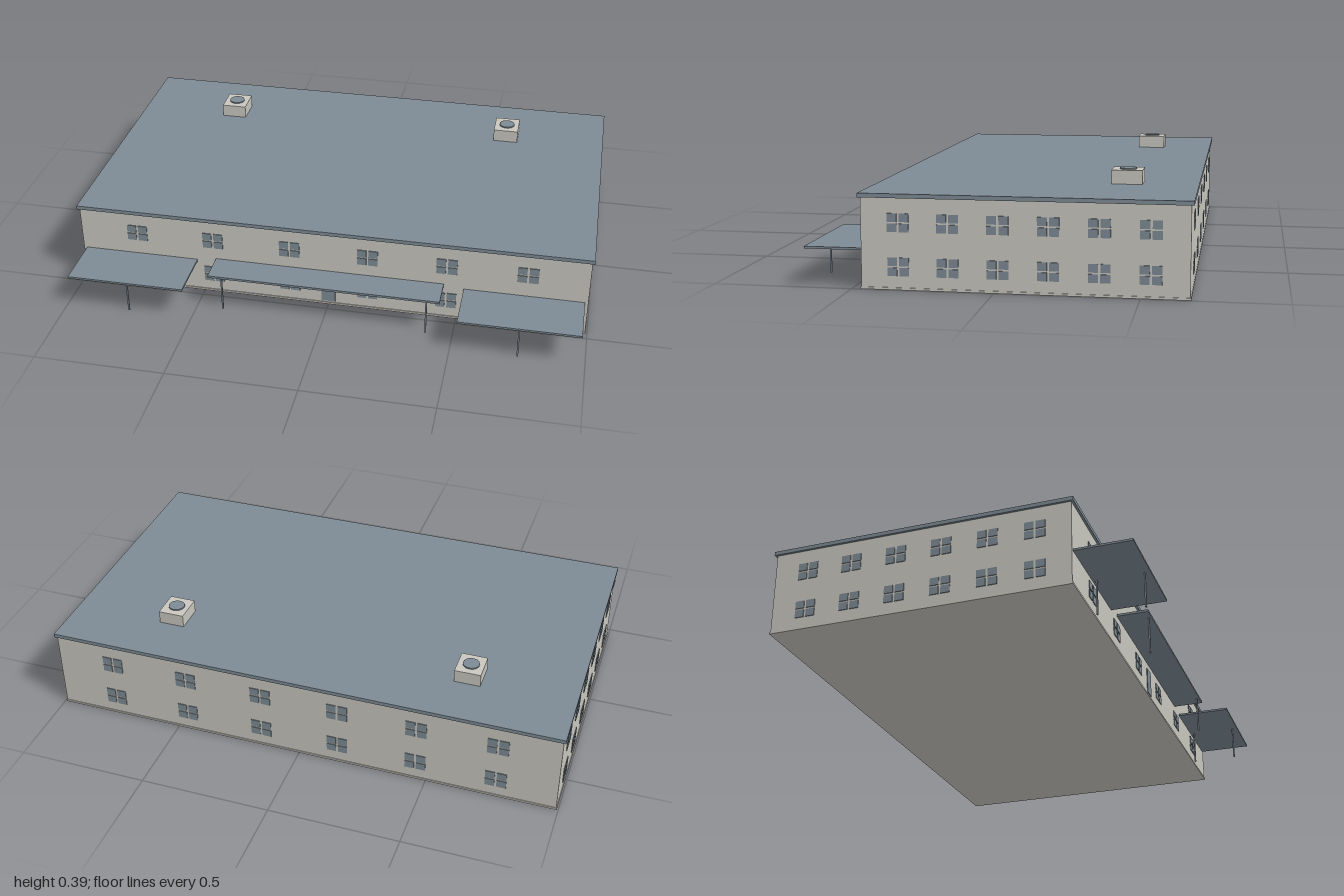
import * as THREE from 'three';

const wallMat = new THREE.MeshStandardMaterial({ name: 'plaster', color: 0xc8c6be });
const roofMat = new THREE.MeshStandardMaterial({ name: 'slate blue', color: 0x7d8a94 });

// Box given by its min and max corners
function block(parent, name, mat, [x0, y0, z0], [x1, y1, z1]) {
  const mesh = new THREE.Mesh(new THREE.BoxGeometry(x1 - x0, y1 - y0, z1 - z0), mat);
  mesh.position.set((x0 + x1) / 2, (y0 + y1) / 2, (z0 + z1) / 2);
  mesh.name = name;
  parent.add(mesh);
  return mesh;
}

// Four thin panes around a cross-shaped gap, facing +z
function makeWindow(width) {
  const g = new THREE.Group();
  g.name = 'window';
  const w = width / 2, h = 0.0325, gx = 0.004, gy = 0.003;
  for (const sx of [-1, 1]) for (const sy of [-1, 1]) {
    const pane = new THREE.Mesh(new THREE.BoxGeometry(w - gx, h - gy, 0.004), roofMat);
    pane.position.set(sx * (w + gx) / 2, sy * (h + gy) / 2, 0);
    pane.name = 'windowPane';
    g.add(pane);
  }
  return g;
}

export function createModel() {
  const model = new THREE.Group();
  model.name = 'building';
  const X = 0.992, ZF = 0.466, ZB = -0.667;

  // Main volume
  block(model, 'plinth', wallMat, [-X - 0.003, 0, ZB - 0.003], [X + 0.003, 0.008, ZF + 0.003]);
  block(model, 'walls', wallMat, [-X, 0.008, ZB], [X, 0.322, ZF]);
  block(model, 'roofSlab', roofMat, [-1, 0.321, -0.676], [1, 0.336, 0.475]);

  // Two rows of windows on every wall
  for (const y of [0.081, 0.235]) {
    for (let i = 0; i < 6; i++) {
      const x = (i - 2.5) * 0.305, z = 0.334 - i * 0.1737;
      const place = (width, px, pz, turn) => {
        const win = makeWindow(width);
        win.position.set(px, y, pz);
        win.rotation.y = turn;
        model.add(win);
      };
      place(0.08, x, ZF + 0.001, 0);
      place(0.08, x, ZB - 0.001, Math.PI);
      place(0.076, X + 0.001, z, Math.PI / 2);
      place(0.076, -X - 0.001, z, -Math.PI / 2);
    }
  }

  // Front door
  block(model, 'door', roofMat, [-0.027, 0.015, ZF - 0.001], [0.027, 0.119, ZF + 0.003]);

  // Canopies on slim posts
  const post = (x, z, top) =>
    block(model, 'canopyPost', roofMat, [x - 0.003, 0, z - 0.003], [x + 0.003, top, z + 0.003]);
  block(model, 'middleCanopy', roofMat, [-0.448, 0.145, ZF], [0.448, 0.154, 0.586]);
  for (const s of [-1, 1]) {
    const c = s * 0.752;
    block(model, 'sideCanopy', roofMat, [c - 0.228, 0.133, ZF], [c + 0.228, 0.141, 0.676]);
    post(s * 0.397, 0.575, 0.146);
    post(c, 0.654, 0.134);
    post(c, 0.48, 0.134);
  }

  // Rooftop ventilation units
  for (const s of [-1, 1]) {
    const x = s * 0.593, z = -0.419;
    block(model, 'ventBox', wallMat, [x - 0.05, 0.335, z - 0.056], [x + 0.05, 0.386, z + 0.056]);
    const fan = new THREE.Mesh(new THREE.CylinderGeometry(0.031, 0.031, 0.007, 24), roofMat);
    fan.position.set(x, 0.3875, z);
    fan.name = 'ventFan';
    model.add(fan);
  }
  return model;
}
